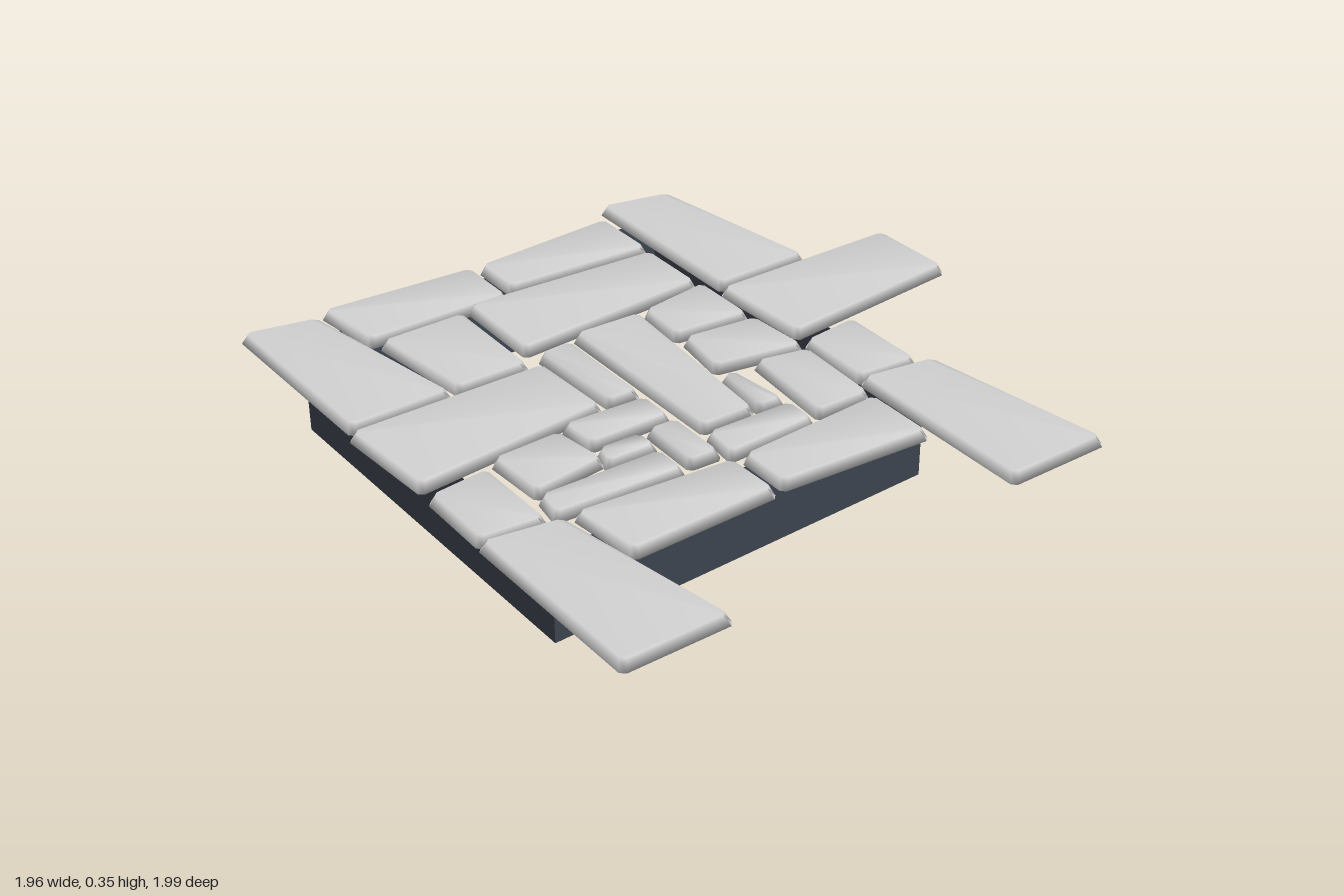
import * as THREE from 'three';

const stoneMat = new THREE.MeshStandardMaterial({ color: 0xd2d2d2 });
stoneMat.name = 'pale stone';
const wallMat = new THREE.MeshStandardMaterial({ color: 0x3c444e, side: THREE.DoubleSide });
wallMat.name = 'dark slate';

// Bevelled slab over four corners [x, z] (back left, back right, front right, front left).
// The top sits at height `top` along its front edge and sinks gently toward the back.
function slab(corners, top) {
  const thick = 0.034, slope = 0.03, cut = 0.014, inset = 0.014;
  const pts = corners.map(c => new THREE.Vector2(c[0], c[1]));
  const front = Math.max(...pts.map(p => p.y));
  const positions = [];
  for (const upper of [false, true]) {
    for (let k = 0; k < 4; k++) {
      const p = pts[k];
      const a = pts[(k + 3) % 4].clone().sub(p).normalize();
      const b = pts[(k + 1) % 4].clone().sub(p).normalize();
      for (const dir of [a, b]) {
        const q = p.clone().addScaledVector(dir, cut);
        if (upper) q.addScaledVector(a, inset).addScaledVector(b, inset);
        const y = top - slope * (front - q.y) - (upper ? 0 : thick);
        positions.push(q.x, y, q.y);
      }
    }
  }
  const index = [];
  const quad = (a, b, c, d) => index.push(a, b, c, a, c, d);
  // sloping rim
  for (let i = 0; i < 8; i++) {
    const j = (i + 1) % 8;
    quad(i, i + 8, j + 8, j);
  }
  // top and underside, shared with the rim so the shading rolls over the edges
  for (const [a, b, c, d] of [[7, 0, 1, 2], [7, 2, 3, 6], [6, 3, 4, 5]]) {
    quad(d + 8, c + 8, b + 8, a + 8);
    quad(a, b, c, d);
  }
  const g = new THREE.BufferGeometry();
  g.setAttribute('position', new THREE.Float32BufferAttribute(positions, 3));
  g.setIndex(index);
  g.computeVertexNormals();
  return g;
}

export function createModel() {
  const model = new THREE.Group();
  model.name = 'stonePavedPlatform';

  const add = (name, top, ...corners) => {
    const mesh = new THREE.Mesh(slab(corners, top), stoneMat);
    mesh.name = name;
    model.add(mesh);
  };

  // Front and back border rows share one layout
  for (const [row, z, longEnd] of [['back', -0.34, -0.33], ['front', 0.98, 0.99]]) {
    add(row + 'RightEave', 0.337, [-0.93, z - 0.25], [-0.33, z - 0.355], [-0.33, z - 0.01], [-0.98, z - 0.01]);
    add(row + 'LeftEave', 0.337, [0.37, z - 0.25], [0.98, z - 0.355], [0.98, z], [0.33, z]);
    add(row + 'LongStone', 0.342, [-0.31, longEnd - 0.66], [-0.015, longEnd - 0.67], [0.04, longEnd - 0.02], [-0.315, longEnd]);
    add(row + 'SmallStone', 0.326, [0.04, z - 0.225], [0.345, z - 0.225], [0.325, z - 0.01], [0.06, z - 0.015]);
  }

  // Side stones
  add('rightBackStone', 0.338, [-0.92, -0.33], [-0.675, -0.33], [-0.705, 0.18], [-0.89, 0.18]);
  add('leftBackStone', 0.338, [0.41, -0.33], [0.655, -0.33], [0.62, 0.18], [0.435, 0.18]);
  add('rightFrontStone', 0.335, [-0.92, 0.185], [-0.7, 0.185], [-0.705, 0.68], [-0.955, 0.71]);
  add('leftFrontStone', 0.335, [0.415, 0.19], [0.61, 0.185], [0.62, 0.68], [0.37, 0.705]);

  // Large inner stones
  add('tallInnerStone', 0.346, [-0.655, -0.32], [-0.405, -0.32], [-0.365, 0.355], [-0.695, 0.35]);
  add('crossStone', 0.334, [-0.37, -0.065], [0.27, -0.01], [0.265, 0.18], [-0.38, 0.18]);
  add('cornerStone', 0.334, [-0.695, 0.36], [-0.32, 0.365], [-0.325, 0.615], [-0.695, 0.66]);

  // Small fill around the middle
  add('backWedge', 0.332, [-0.4, -0.33], [-0.155, -0.33], [-0.18, -0.06], [-0.365, -0.07]);
  add('backWedge', 0.335, [-0.135, -0.33], [0.09, -0.345], [0.035, -0.04], [-0.165, -0.07]);
  add('backBlock', 0.33, [0.1, -0.345], [0.405, -0.33], [0.4, -0.13], [0.06, -0.16]);
  add('sunkenChip', 0.322, [0.06, -0.095], [0.275, -0.12], [0.265, -0.02], [0.055, -0.04]);
  add('uprightChip', 0.325, [0.28, -0.125], [0.4, -0.125], [0.41, 0.195], [0.27, 0.18]);
  add('middleBlock', 0.33, [-0.36, 0.195], [-0.003, 0.195], [-0.008, 0.31], [-0.355, 0.325]);
  add('middleUpright', 0.33, [0.013, 0.195], [0.145, 0.195], [0.14, 0.475], [-0.003, 0.485]);
  add('middleChip', 0.326, [0.16, 0.195], [0.378, 0.195], [0.373, 0.31], [0.155, 0.305]);
  add('sunkenChip', 0.322, [0.15, 0.315], [0.24, 0.31], [0.235, 0.49], [0.145, 0.47]);
  add('slimUpright', 0.324, [0.245, 0.315], [0.373, 0.315], [0.35, 0.745], [0.235, 0.725]);
  add('frontBlock', 0.334, [0.018, 0.5], [0.215, 0.475], [0.245, 0.73], [0.025, 0.74]);

  // Plinth: four thin walls, open above and below
  const x0 = -0.85, x1 = 0.46, z0 = -0.48, z1 = 0.83, h = 0.305;
  const cx = (x0 + x1) / 2, cz = (z0 + z1) / 2;
  const walls = [
    ['frontWall', x1 - x0, cx, z1, 0],
    ['backWall', x1 - x0, cx, z0, Math.PI],
    ['leftWall', z1 - z0, x1, cz, Math.PI / 2],
    ['rightWall', z1 - z0, x0, cz, -Math.PI / 2],
  ];
  for (const [name, width, x, z, turn] of walls) {
    const wall = new THREE.Mesh(new THREE.PlaneGeometry(width, h), wallMat);
    wall.name = name;
    wall.position.set(x, h / 2, z);
    wall.rotation.y = turn;
    model.add(wall);
  }
  return model;
}
